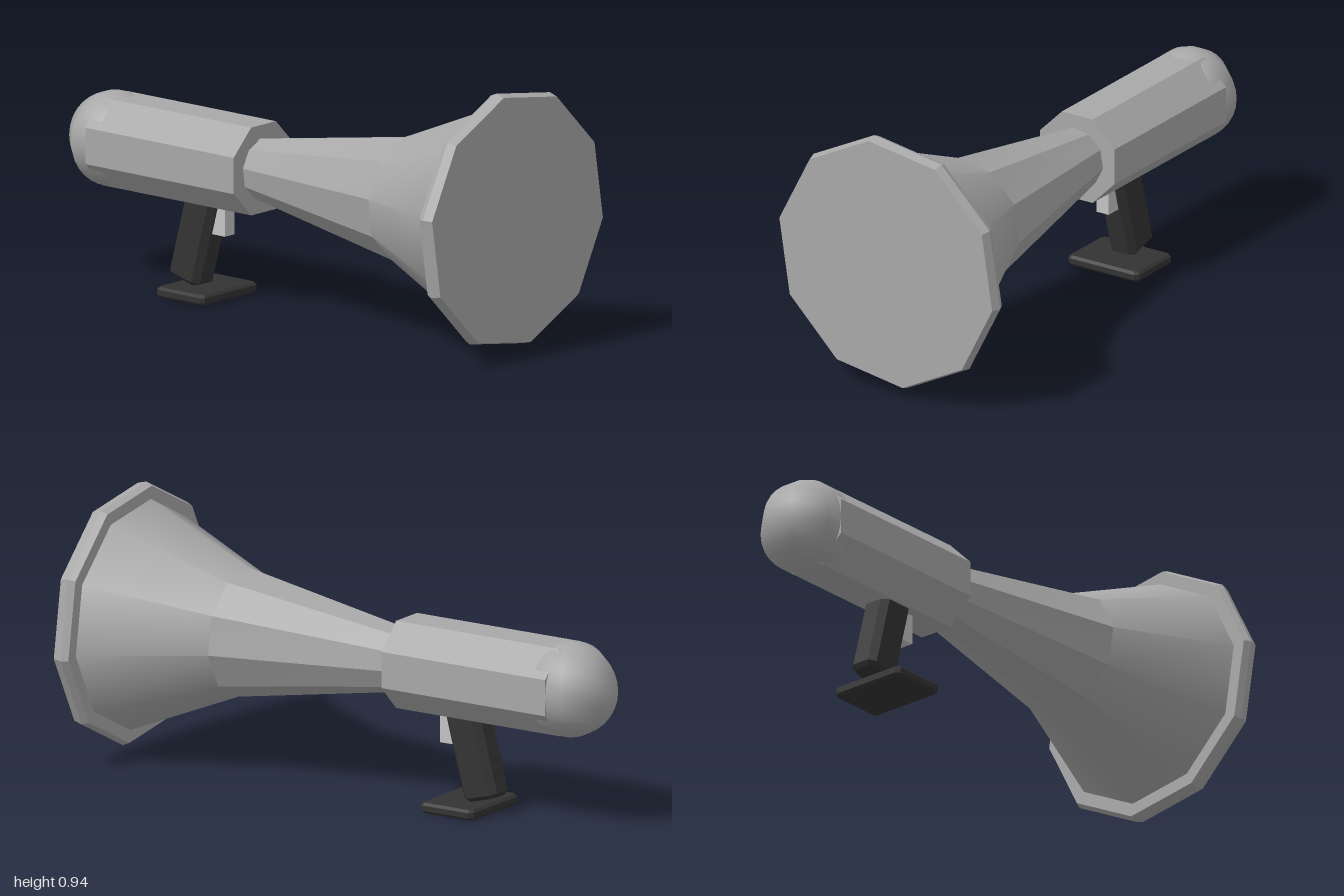
import * as THREE from 'three';
import { toCreasedNormals } from 'three/addons/utils/BufferGeometryUtils.js';

const AXIS_Y = 0.487;

export function createModel() {
  const group = new THREE.Group();
  const shell = new THREE.MeshStandardMaterial({ color: 0xa8a8a8 });
  shell.name = 'shellGrey';
  const pale = new THREE.MeshStandardMaterial({ color: 0xc4c4c4 });
  pale.name = 'paleGrey';
  const dark = new THREE.MeshStandardMaterial({ color: 0x333333 });
  dark.name = 'darkGrey';

  function add(name, geometry, material, x, y, z) {
    const mesh = new THREE.Mesh(geometry, material);
    mesh.name = name;
    mesh.position.set(x, y, z);
    group.add(mesh);
    return mesh;
  }

  // Ten-sided surface turned around the z axis from [radius, z] pairs
  function turned(profile, crease) {
    const points = profile.map(([r, z]) => new THREE.Vector2(r, z));
    const geometry = new THREE.LatheGeometry(points, 10, THREE.MathUtils.degToRad(9));
    geometry.rotateX(Math.PI / 2);
    return toCreasedNormals(geometry, crease);
  }

  // Block with every edge chamfered by b
  function chamferedBlock(w, h, d, b) {
    const x = w / 2 - b, z = d / 2 - b, c = b;
    const shape = new THREE.Shape([
      [x - c, -z], [x, -z + c], [x, z - c], [x - c, z],
      [-x + c, z], [-x, z - c], [-x, -z + c], [-x + c, -z],
    ].map(([px, pz]) => new THREE.Vector2(px, pz)));
    const geometry = new THREE.ExtrudeGeometry(shape, {
      depth: h - 2 * b, bevelEnabled: true, bevelSegments: 1, bevelSize: b, bevelThickness: b,
    });
    geometry.translate(0, 0, b - h / 2);
    geometry.rotateX(-Math.PI / 2);
    return toCreasedNormals(geometry, 0.3);
  }

  // Flared horn: faceted neck, smoother bell
  add('horn', turned([[0.108, -0.17], [0.224, 0.51], [0.404, 0.945]], 0.6), shell, 0, AXIS_Y, 0);

  // Closed rim with bevelled edge
  add('rim', turned([[0.38, 0.94], [0.448, 0.94], [0.459, 0.965], [0.449, 1], [0, 1]], 0.15),
    shell, 0, AXIS_Y, 0);

  // Octagonal body
  const body = new THREE.CylinderGeometry(0.168, 0.168, 0.68, 8, 1, false, Math.PI / 8);
  body.rotateX(Math.PI / 2);
  add('body', toCreasedNormals(body, 0.5), shell, 0, AXIS_Y, -0.505);

  // Rear dome, eight sided around the vertical
  const dome = new THREE.SphereGeometry(0.168, 8, 16);
  dome.rotateY(Math.PI / 8);
  add('rearDome', dome, shell, 0, AXIS_Y, -0.845);

  // Trigger
  add('trigger', new THREE.BoxGeometry(0.05, 0.13, 0.06), pale, 0, 0.29, -0.35);

  // Raked grip and its foot
  const grip = add('grip', chamferedBlock(0.11, 0.32, 0.14, 0.014), dark, 0, 0.202, -0.458);
  grip.rotation.x = THREE.MathUtils.degToRad(15);
  add('foot', chamferedBlock(0.295, 0.037, 0.22, 0.009), dark, 0, 0.0185, -0.425);

  return group;
}
